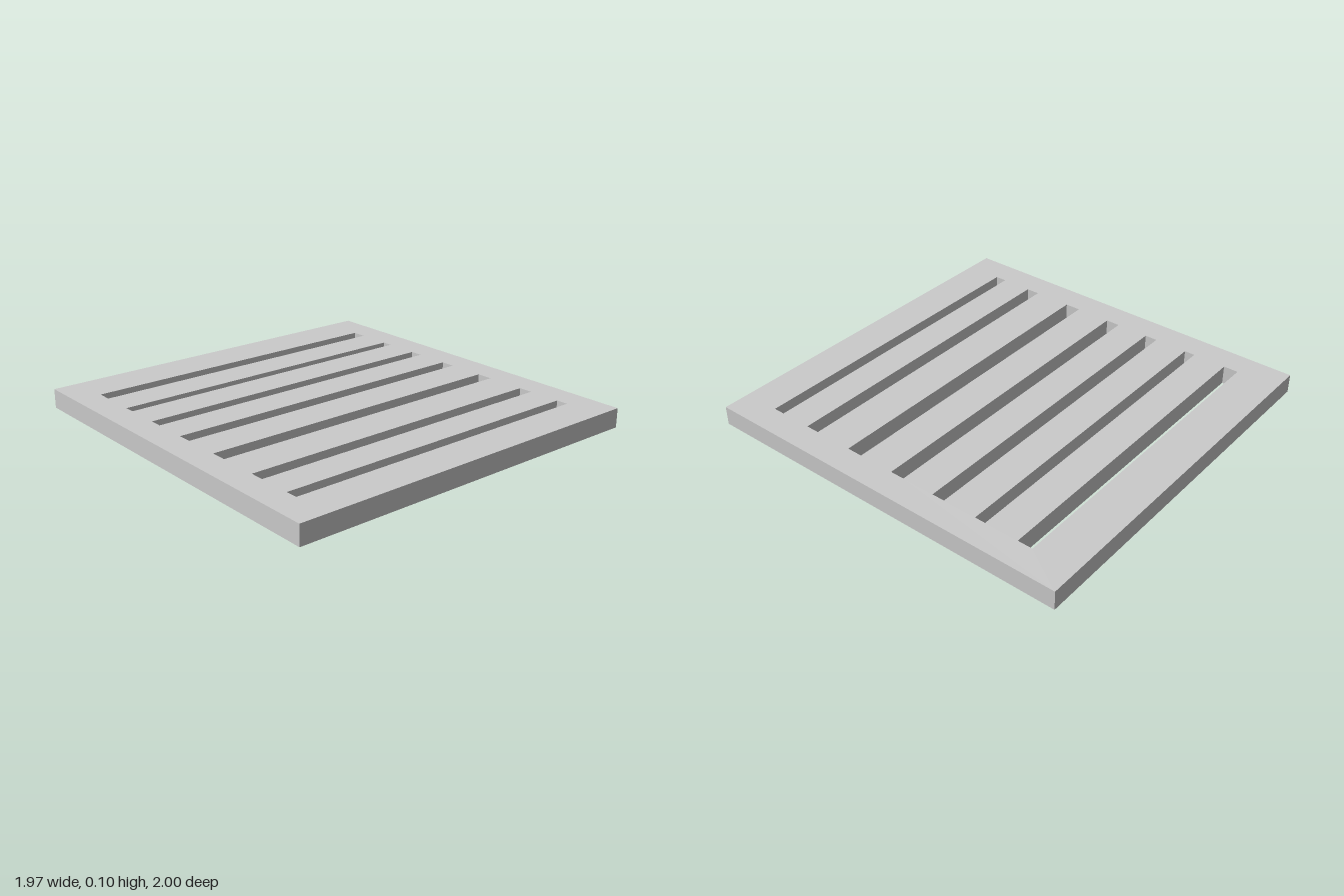
import * as THREE from 'three';

const HEIGHT = 0.1;
const HALF_WIDTH = 0.983;
const SLOT_HALF_WIDTH = 0.843;

// Back and front edge (z) of each slot
const SLOTS = [
  [-0.777, -0.7], [-0.523, -0.467], [-0.29, -0.223], [-0.048, 0.027],
  [0.217, 0.3], [0.503, 0.575], [0.742, 0.803],
];

// Rectangle spanning ±halfWidth in x, from z0 to z1 (shape y is -z)
function rectangle(PathType, halfWidth, z0, z1) {
  return new PathType([
    new THREE.Vector2(-halfWidth, -z1),
    new THREE.Vector2(halfWidth, -z1),
    new THREE.Vector2(halfWidth, -z0),
    new THREE.Vector2(-halfWidth, -z0),
  ]).closePath();
}

export function createModel() {
  const group = new THREE.Group();
  group.name = 'slottedGrate';

  // Flat plate pierced by the slots
  const outline = rectangle(THREE.Shape, HALF_WIDTH, -1, 1);
  for (const [z0, z1] of SLOTS) {
    outline.holes.push(rectangle(THREE.Path, SLOT_HALF_WIDTH, z0, z1));
  }
  const geometry = new THREE.ExtrudeGeometry(outline, { depth: HEIGHT, bevelEnabled: false });
  geometry.rotateX(-Math.PI / 2);

  const plate = new THREE.Mesh(geometry, new THREE.MeshStandardMaterial({ color: 0xcccccc }));
  plate.name = 'slottedPlate';
  group.add(plate);
  return group;
}
